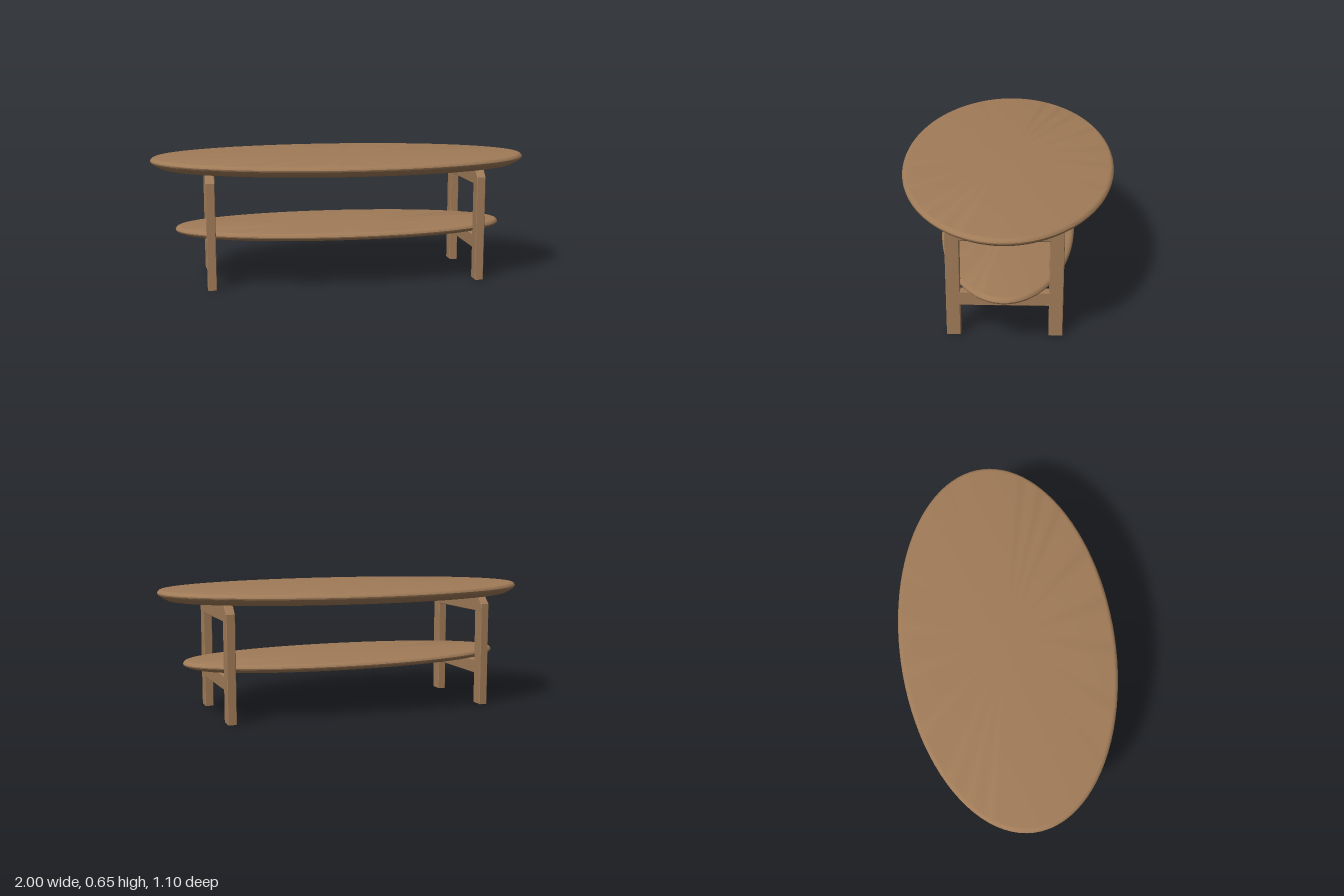
import * as THREE from 'three';
import { toCreasedNormals } from 'three/addons/utils/BufferGeometryUtils.js';

// Oval board: a lathed edge profile [inset, y] stretched so the inset stays even all round
function ovalBoard(rx, rz, profile) {
  const pts = profile.map(([inset, y]) => new THREE.Vector2(1 - inset, y));
  pts.unshift(new THREE.Vector2(0, pts[0].y));
  pts.push(new THREE.Vector2(0, pts[pts.length - 1].y));
  const geo = new THREE.LatheGeometry(pts, 96);
  const p = geo.attributes.position;
  for (let i = 0; i < p.count; i++) {
    const x = p.getX(i), z = p.getZ(i), r = Math.hypot(x, z);
    if (r < 0.01) continue;
    p.setX(i, (x / r) * (r + rx - 1));
    p.setZ(i, (z / r) * (r + rz - 1));
  }
  return toCreasedNormals(geo, 0.5);
}

// Trestle end: two legs, top rail and lower rail in one outline with a window
function trestle() {
  const v = (a) => a.map(([x, y]) => new THREE.Vector2(x, y));
  const shape = new THREE.Shape(v([
    [-0.281, 0], [-0.213, 0], [-0.213, 0.165], [0.213, 0.165], [0.213, 0], [0.281, 0],
    [0.281, 0.548], [0.232, 0.598], [-0.232, 0.598], [-0.281, 0.548],
  ]));
  shape.holes.push(new THREE.Path(v([[-0.213, 0.238], [-0.213, 0.508], [0.213, 0.508], [0.213, 0.238]])));
  const bevel = 0.003, width = 0.046;
  const geo = new THREE.ExtrudeGeometry(shape, {
    depth: width - 2 * bevel, bevelThickness: bevel, bevelSize: bevel, bevelOffset: -bevel, bevelSegments: 1,
  });
  geo.translate(0, 0, bevel - width / 2);
  geo.rotateY(-Math.PI / 2);
  return geo;
}

export function createModel() {
  const group = new THREE.Group();
  const wood = new THREE.MeshStandardMaterial({ color: 0xa07b58 });
  wood.name = 'wood';
  const add = (name, geo, x = 0) => {
    const mesh = new THREE.Mesh(geo, wood);
    mesh.name = name;
    mesh.position.x = x;
    group.add(mesh);
  };

  // Table top with rounded upper edge and undercut underside
  add('tableTop', ovalBoard(1, 0.55, [
    [0.053, 0.597], [0.028, 0.61], [0.01, 0.621], [0.002, 0.629], [0, 0.636],
    [0.003, 0.643], [0.009, 0.649], [0.016, 0.652], [0.024, 0.653],
  ]));

  // Lower shelf with a softer, rounder underside
  add('shelf', ovalBoard(0.88, 0.354, [
    [0.08, 0.238], [0.055, 0.243], [0.03, 0.25], [0.01, 0.258], [0.002, 0.265], [0, 0.271],
    [0.003, 0.278], [0.009, 0.284], [0.016, 0.287], [0.024, 0.288],
  ]));

  // End frames
  const frame = trestle();
  add('leftFrame', frame, 0.701);
  add('rightFrame', frame, -0.701);
  return group;
}
